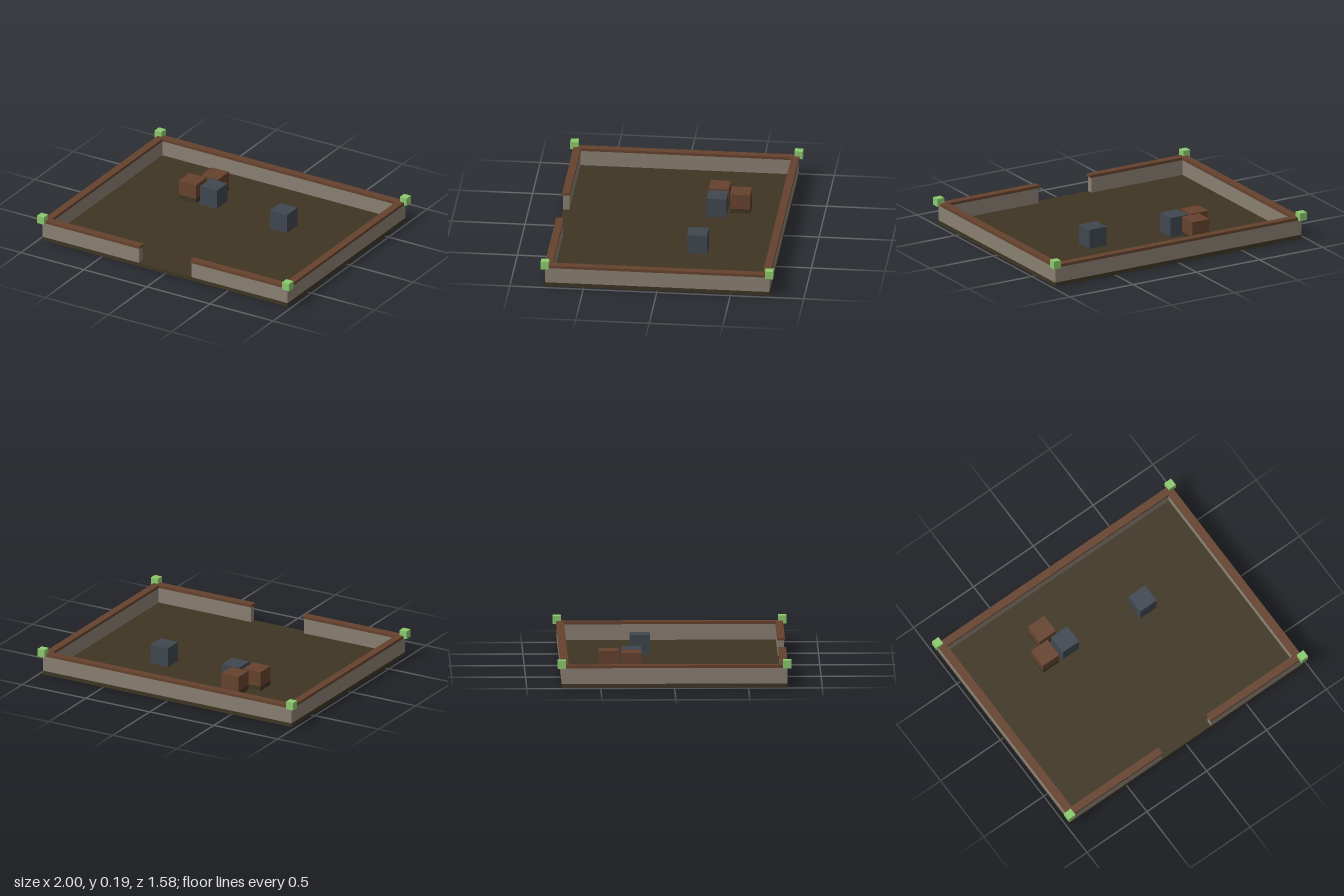
import * as THREE from 'three';

const mat = (name, color) => {
  const m = new THREE.MeshStandardMaterial({ color });
  m.name = name;
  return m;
};

export function createModel() {
  const model = new THREE.Group();
  model.name = 'walledYard';
  const earth = mat('dark earth', 0x3e3523);
  const stone = mat('grey stone', 0x8a8072);
  const wood = mat('red brown wood', 0x66422e);
  const slate = mat('blue slate', 0x40474f);
  const green = mat('light green', 0x8cca6e);

  // Box given by its minimum and maximum on each axis
  const box = (name, material, [x0, x1], [y0, y1], [z0, z1], parent = model) => {
    const mesh = new THREE.Mesh(new THREE.BoxGeometry(x1 - x0, y1 - y0, z1 - z0), material);
    mesh.position.set((x0 + x1) / 2, (y0 + y1) / 2, (z0 + z1) / 2);
    mesh.name = name;
    parent.add(mesh);
  };

  const X = 0.972, Z = 0.763;          // outer wall faces
  const floorY = 0.027, wallY = 0.135, capY = 0.154;
  const thick = 0.043, lip = 0.005;    // wall thickness, coping overhang

  box('floor', earth, [-X, X], [0, floorY], [-Z, Z]);

  // A wall with its wider coping
  const wall = (name, x, z, capX, capZ) => {
    const g = new THREE.Group();
    g.name = name;
    box(name + 'Stone', stone, x, [floorY, wallY], z, g);
    box(name + 'Coping', wood, capX, [wallY, capY], capZ, g);
    model.add(g);
  };
  const inX = X - thick, inZ = Z - thick;
  wall('backWall', [-X, X], [-Z, -inZ], [-X - lip, X + lip], [-Z - lip, -inZ + lip]);
  wall('leftWall', [inX, X], [-inZ, inZ], [inX - lip, X + lip], [-inZ + lip, inZ - lip]);
  wall('rightWall', [-X, -inX], [-inZ, inZ], [-X - lip, -inX + lip], [-inZ + lip, inZ - lip]);

  // Front walls either side of the gateway
  wall('frontLeftWall', [0.208, X], [inZ, Z], [0.2, X + lip], [inZ - lip, Z + lip]);
  wall('frontRightWall', [-X, -0.208], [inZ, Z], [-X - lip, -0.2], [inZ - lip, Z + lip]);

  // Corner blocks
  const h = 0.0275;
  for (const x of [-X, X]) for (const z of [-Z, Z])
    box('cornerBlock', green, [x - h, x + h], [wallY, 0.19], [z - h, z + h]);

  // Crates; the wooden ones stand on a dark base
  const c = 0.068, topY = 0.163;
  const crate = (name, material, x, z, baseY) => {
    const xs = [x - c, x + c], zs = [z - c, z + c];
    box(name, material, xs, [baseY, topY], zs);
    if (baseY > floorY) box(name + 'Base', earth, xs, [floorY, baseY], zs);
  };
  crate('woodenCrate', wood, -0.337, -0.435, 0.058);
  crate('woodenCrate', wood, -0.421, -0.282, 0.058);
  crate('slateCrate', slate, -0.255, -0.282, floorY);
  crate('slateCrate', slate, 0.343, -0.212, floorY);

  return model;
}
